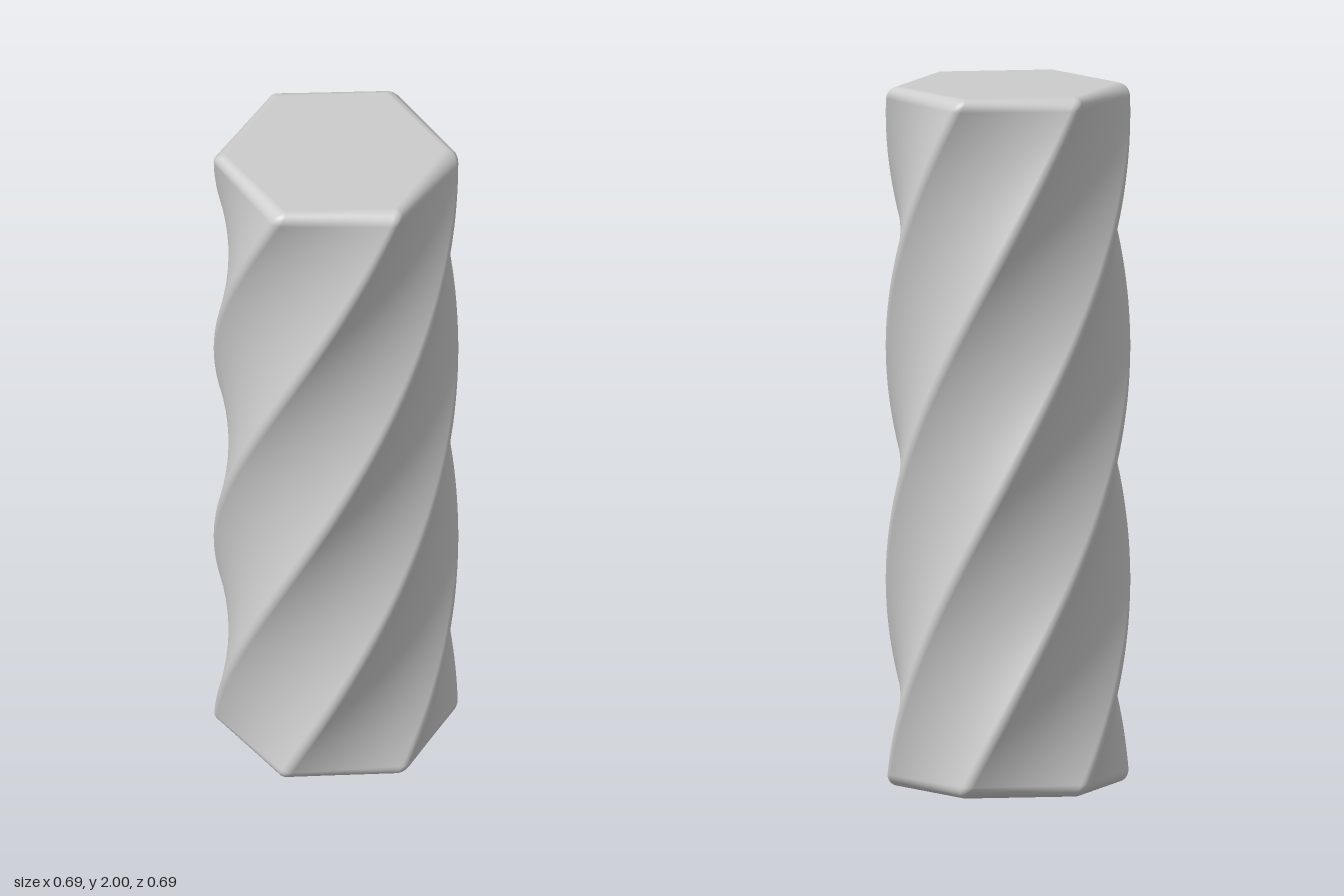
import * as THREE from 'three';

const HEIGHT = 2, CORE = 0.31, ROUND = 0.036; // inner hexagon radius and edge rounding
const TWIST = Math.PI / HEIGHT;               // half a turn over the full height
const ARC = 6, SIDE = 6, BEVEL = 8, SLICES = 72;

// Rounded hexagon outline: inner point (x, z) plus outward direction (nx, nz)
function outline() {
  const points = [];
  const corner = (i) => [CORE * Math.sin(i * Math.PI / 3), CORE * Math.cos(i * Math.PI / 3)];
  for (let i = 0; i < 6; i++) {
    const [x, z] = corner(i), [x2, z2] = corner(i + 1);
    for (let k = 0; k <= ARC; k++) {
      const a = (i + k / ARC - 0.5) * Math.PI / 3;
      points.push({ x, z, nx: Math.sin(a), nz: Math.cos(a) });
    }
    const a = (i + 0.5) * Math.PI / 3;
    for (let k = 1; k < SIDE; k++) {
      const t = k / SIDE;
      points.push({ x: x + (x2 - x) * t, z: z + (z2 - z) * t, nx: Math.sin(a), nz: Math.cos(a) });
    }
  }
  return points;
}

// Rings from the bottom centre, round the bevels and up to the top centre
function rings() {
  const list = [{ scale: 0, y: 0, out: 0, up: -1 }];
  for (let k = 0; k <= BEVEL; k++) {
    const p = k / BEVEL * Math.PI / 2;
    list.push({ scale: 1, y: ROUND * (1 - Math.cos(p)), out: Math.sin(p), up: -Math.cos(p) });
  }
  for (let k = 1; k < SLICES; k++) {
    list.push({ scale: 1, y: ROUND + (HEIGHT - 2 * ROUND) * k / SLICES, out: 1, up: 0 });
  }
  for (let k = BEVEL; k >= 0; k--) {
    const p = k / BEVEL * Math.PI / 2;
    list.push({ scale: 1, y: HEIGHT - ROUND * (1 - Math.cos(p)), out: Math.sin(p), up: Math.cos(p) });
  }
  list.push({ scale: 0, y: HEIGHT, out: 0, up: 1 });
  return list;
}

function twistedPrism() {
  const loop = outline(), stack = rings(), n = loop.length;
  const positions = [], normals = [], index = [];
  const normal = new THREE.Vector3();
  stack.forEach((ring, j) => {
    const c = Math.cos(TWIST * ring.y), s = Math.sin(TWIST * ring.y);
    loop.forEach((p, i) => {
      const x = p.x * ring.scale + p.nx * ROUND * ring.out;
      const z = p.z * ring.scale + p.nz * ROUND * ring.out;
      const nx = p.nx * ring.out, nz = p.nz * ring.out;
      positions.push(x * c + z * s, ring.y, z * c - x * s);
      // The twist tilts the side normals
      normal.set(nx * c + nz * s, ring.up - TWIST * (nx * z - nz * x), nz * c - nx * s).normalize();
      normals.push(normal.x, normal.y, normal.z);
      if (j + 1 < stack.length) {
        const a = j * n + i, b = j * n + (i + 1) % n;
        index.push(a, b, b + n, a, b + n, a + n);
      }
    });
  });
  const geometry = new THREE.BufferGeometry();
  geometry.setAttribute('position', new THREE.Float32BufferAttribute(positions, 3));
  geometry.setAttribute('normal', new THREE.Float32BufferAttribute(normals, 3));
  geometry.setIndex(index);
  return geometry;
}

export function createModel() {
  const group = new THREE.Group();
  group.name = 'twistedColumn';
  const material = new THREE.MeshStandardMaterial({ color: 0xcccccc });
  material.name = 'light grey';
  const column = new THREE.Mesh(twistedPrism(), material);
  column.name = 'twistedHexagonalPrism';
  group.add(column);
  return group;
}
